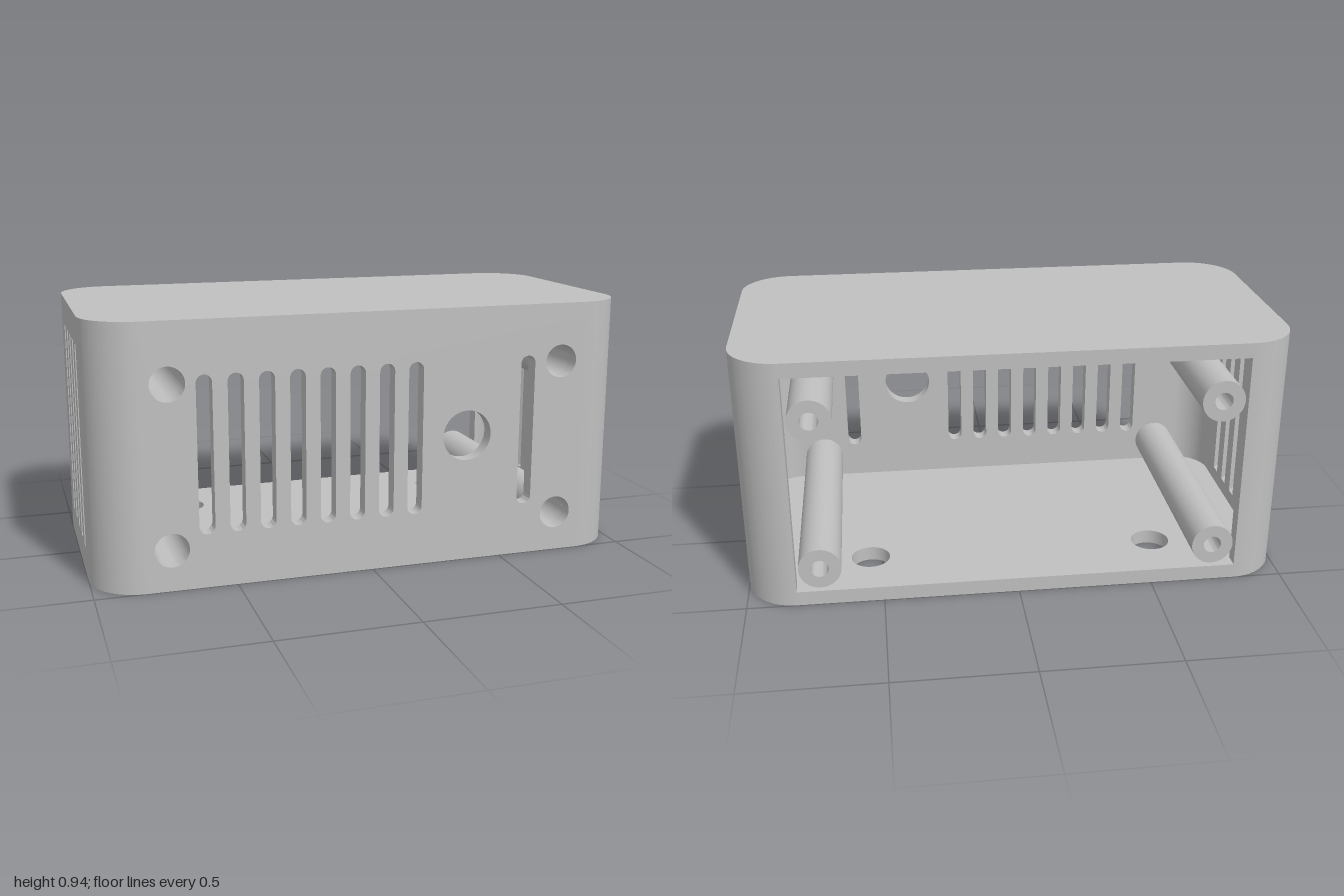
import * as THREE from 'three';
import { toCreasedNormals } from 'three/addons/utils/BufferGeometryUtils.js';

const W = 1, D = 0.5, H = 0.945, T = 0.055, R = 0.183;
const FX = W - R, FZ = D - R; // half lengths of the straight walls

export function createModel() {
  const model = new THREE.Group();
  model.name = 'enclosure';
  const grey = new THREE.MeshStandardMaterial({ color: 0xc0c0c0 });
  grey.name = 'grey plastic';

  const add = (name, geometry) => {
    const mesh = new THREE.Mesh(toCreasedNormals(geometry, 0.5), grey);
    mesh.name = name;
    model.add(mesh);
    return mesh;
  };
  const extrude = (shape, depth) =>
    new THREE.ExtrudeGeometry(shape, { depth, bevelEnabled: false, curveSegments: 24 });
  // Extrude a plan drawn in (x, -z) from height y0 to y1
  const slab = (name, shape, y0, y1) =>
    add(name, extrude(shape, y1 - y0).rotateX(-Math.PI / 2).translate(0, y0, 0));
  const polygon = (...pts) => new THREE.Shape(pts.map(([x, y]) => new THREE.Vector2(x, y)));
  const circle = (x, y, r) => new THREE.Path().absarc(x, y, r, 0, Math.PI * 2, true);
  const roundedPlan = () => {
    const s = new THREE.Shape();
    s.absarc(FX, FZ, R, 0, Math.PI / 2);
    s.absarc(-FX, FZ, R, Math.PI / 2, Math.PI);
    s.absarc(-FX, -FZ, R, Math.PI, Math.PI * 1.5);
    s.absarc(FX, -FZ, R, Math.PI * 1.5, Math.PI * 2);
    s.closePath();
    return s;
  };

  // Floor with two round openings, and closed roof
  const floor = roundedPlan();
  for (const x of [-0.545, 0.545]) floor.holes.push(circle(x, 0.28, 0.073));
  slab('floor', floor, 0, T);
  slab('roof', roundedPlan(), H - T, H);

  // Four rounded corner walls; the back is open between them
  for (const [sx, sz, start] of [[1, 1, 0], [-1, 1, 1], [-1, -1, 2], [1, -1, 3]]) {
    const a = start * Math.PI / 2, b = a + Math.PI / 2;
    const corner = new THREE.Shape();
    corner.absarc(sx * FX, sz * FZ, R, a, b, false);
    corner.absarc(sx * FX, sz * FZ, R - T, b, a, true);
    corner.closePath();
    slab('cornerWall', corner, T, H - T);
  }

  // Front wall with vents, a round opening and screw holes
  const front = polygon([-FX, T], [FX, T], [FX, H - T], [-FX, H - T]);
  const slotR = 0.028, slotBottom = 0.195, slotTop = 0.757;
  for (const i of [0, 1, 2, 3, 4, 5, 6, 7, 11]) {
    const x = -0.604 + i * 0.109;
    const slot = new THREE.Path();
    slot.absarc(x, slotTop - slotR, slotR, 0, Math.PI, false);
    slot.absarc(x, slotBottom + slotR, slotR, Math.PI, Math.PI * 2, false);
    slot.closePath();
    front.holes.push(slot);
  }
  front.holes.push(circle(0.36, 0.475, 0.093));
  const postX = 0.728, postY = [0.148, 0.73], boreR = 0.061;
  for (const x of [-postX, postX]) for (const y of postY) front.holes.push(circle(x, y, boreR));
  add('frontWall', extrude(front, T).translate(0, 0, D - T));

  // Side walls: bars between slanted vents, closed above and below
  const ventBottom = 0.11, ventTop = 0.838, ventHalf = 0.0235;
  const vents = [-0.195, -0.087, 0.022, 0.132, 0.241];
  for (const s of [-1, 1]) {
    // Plan of a wall piece, given its z range outside and inside
    const piece = (o0, o1, i0, i1) => {
      const pts = [[s * W, -o0], [s * W, -o1], [s * (W - T), -i1], [s * (W - T), -i0]];
      return polygon(...pts);
    };
    slab('sideWallLower', piece(-FZ, FZ, -FZ, FZ), T, ventBottom);
    slab('sideWallUpper', piece(-FZ, FZ, -FZ, FZ), ventTop, H - T);
    for (let i = 0; i <= vents.length; i++) {
      const first = i === 0, last = i === vents.length;
      const z0 = first ? -FZ : vents[i - 1] + ventHalf;
      const z1 = last ? FZ : vents[i] - ventHalf;
      slab('ventBar', piece(z0, z1, first ? z0 : z0 - T, last ? z1 : z1 - T), ventBottom, ventTop);
    }
  }

  // Hollow screw posts: wide bore from the front, narrow hole at the back
  const postR = 0.078, holeR = 0.033, seat = -0.35;
  const profile = [
    [holeR, -D], [postR, -D], [postR, D - T], [boreR, D - T],
    [boreR, seat], [holeR, seat], [holeR, -D],
  ].map(([r, z]) => new THREE.Vector2(r, z));
  for (const x of [-postX, postX]) for (const y of postY) {
    const post = add('screwPost', new THREE.LatheGeometry(profile, 40).rotateX(Math.PI / 2));
    post.position.set(x, y, 0);
  }
  return model;
}
